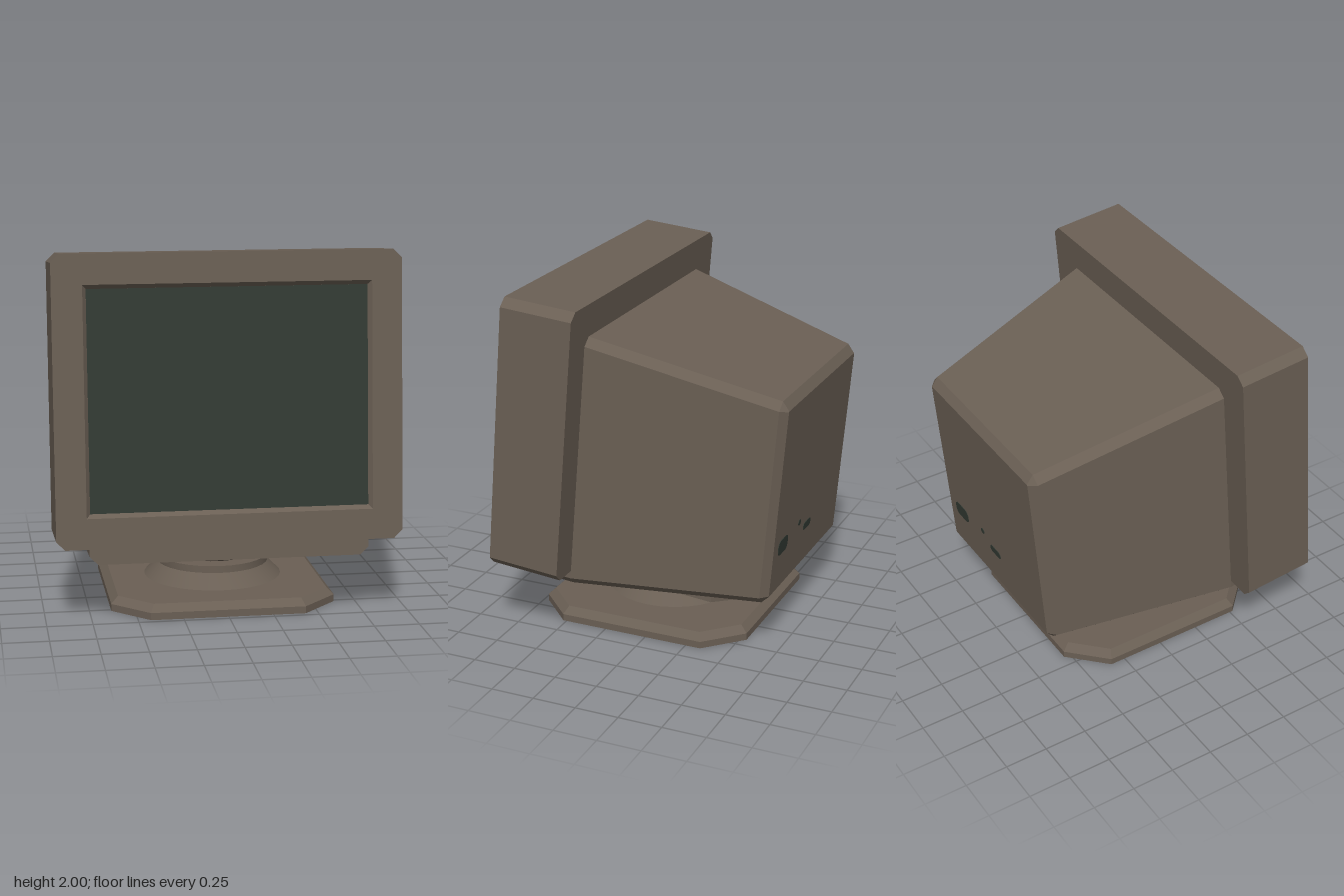
import * as THREE from 'three';
import { toCreasedNormals } from 'three/addons/utils/BufferGeometryUtils.js';

// Rectangle with cut corners, counterclockwise seen from +z
const octagon = (hw, y0, y1, c) => [
  [hw, y0 + c], [hw, y1 - c], [hw - c, y1], [c - hw, y1],
  [-hw, y1 - c], [-hw, y0 + c], [c - hw, y0], [hw - c, y0],
];
const rectangle = (hw, y0, y1) => [[hw, y0], [hw, y1], [-hw, y1], [-hw, y0]];

// Flat-faced loft through [depth, ring] sections; depth runs towards -z
function loft(sections, capped = true) {
  const pos = [];
  const put = (s, i) => {
    const ring = s[1], p = ring[i % ring.length];
    pos.push(p[0], p[1], -s[0]);
  };
  const n = sections[0][1].length;
  for (let k = 0; k < sections.length - 1; k++) {
    const a = sections[k], b = sections[k + 1];
    for (let i = 0; i < n; i++) {
      put(a, i); put(b, i); put(a, i + 1);
      put(b, i); put(b, i + 1); put(a, i + 1);
    }
  }
  if (capped) {
    const first = sections[0], last = sections[sections.length - 1];
    for (let i = 1; i < n - 1; i++) {
      put(first, 0); put(first, i); put(first, i + 1);
      put(last, 0); put(last, i + 1); put(last, i);
    }
  }
  const g = new THREE.BufferGeometry();
  g.setAttribute('position', new THREE.Float32BufferAttribute(pos, 3));
  g.computeVertexNormals();
  return g;
}

const toPoints = (list) => list.map(([x, y]) => new THREE.Vector2(x, y));

function roundedShape(w, h, r) {
  const s = new THREE.Shape(), x = w / 2 - r, y = h / 2 - r;
  s.absarc(x, y, r, 0, Math.PI / 2);
  s.absarc(-x, y, r, Math.PI / 2, Math.PI);
  s.absarc(-x, -y, r, Math.PI, Math.PI * 1.5);
  s.absarc(x, -y, r, Math.PI * 1.5, Math.PI * 2);
  return s;
}

export function createModel() {
  const casing = new THREE.MeshStandardMaterial({ color: 0x6a5f54 });
  casing.name = 'casing brown';
  const glass = new THREE.MeshStandardMaterial({ color: 0x323a33 });
  glass.name = 'dark green glass';

  const model = new THREE.Group();
  model.name = 'monitor';
  const add = (parent, name, geometry, material) => {
    const m = new THREE.Mesh(geometry, material);
    m.name = name;
    parent.add(m);
    return m;
  };

  // Foot: eight-sided plate with a sloped rim
  const foot = add(model, 'footPlate', loft([
    [-0.08, octagon(0.59, -0.59, 0.59, 0.18)],
    [-0.04, octagon(0.63, -0.63, 0.63, 0.2)],
    [0, octagon(0.63, -0.63, 0.63, 0.2)],
  ]), casing);
  foot.rotation.x = -Math.PI / 2;
  foot.position.z = 0.09;

  // Neck: cone with a short collar
  const neck = add(model, 'neck', toCreasedNormals(new THREE.LatheGeometry(toPoints([
    [0.4, 0.075], [0.315, 0.16], [0.32, 0.16], [0.32, 0.2], [0, 0.2],
  ]), 32), 0.6), casing);
  neck.position.z = 0.09;

  // Head: origin at the lower front edge, leaning back
  const head = new THREE.Group();
  head.name = 'tiltingHead';
  head.position.set(0, 0.435, 0.81);
  head.rotation.x = -0.087;
  model.add(head);

  // Swivel bowl under the head
  const bowl = add(head, 'swivelBowl', new THREE.LatheGeometry(toPoints([
    [0, -0.2], [0.2, -0.19], [0.26, -0.167], [0.31, -0.14], [0.35, -0.113], [0.38, -0.08],
  ]), 32), casing);
  bowl.position.z = -0.72;

  // Plate holding the bowl, rear corners cut
  const plateRing = [[0.52, -0.42], [0.52, -1.18], [0.43, -1.27],
    [-0.43, -1.27], [-0.52, -1.18], [-0.52, -0.42]];
  const plateShape = new THREE.Shape(toPoints(plateRing.map(([x, z]) => [x, -z])));
  const plate = add(head, 'swivelPlate',
    new THREE.ExtrudeGeometry(plateShape, { depth: 0.1, bevelEnabled: false }), casing);
  plate.rotation.x = -Math.PI / 2;
  plate.position.y = -0.092;

  // Tapered rear housing, with the chin running under the bezel
  add(head, 'rearHousing', loft([
    [0.042, octagon(0.765, -0.092, 1.388, 0.045)],
    [0.42, octagon(0.765, -0.092, 1.388, 0.045)],
    [1.48, octagon(0.575, 0, 1.2, 0.045)],
    [1.521, octagon(0.533, 0.045, 1.152, 0.004)],
  ]), casing);

  // Bezel: solid block behind a thin frame with a sloped inner rim
  const outer = octagon(0.945, 0, 1.575, 0.047);
  const opening = rectangle(0.78, 0.166, 1.41);
  const inner = rectangle(0.76, 0.188, 1.388);
  add(head, 'bezelBody', loft([[0.026, outer], [0.42, outer]]), casing);
  const frameShape = new THREE.Shape(toPoints(outer));
  frameShape.holes.push(new THREE.Path(toPoints(opening).reverse()));
  add(head, 'bezelFrame',
    new THREE.ExtrudeGeometry(frameShape, { depth: 0.026, bevelEnabled: false }), casing)
    .position.z = -0.026;
  add(head, 'bezelRim', loft([[0.025, inner], [0, opening]], false), casing);

  // Screen glass
  add(head, 'screen', new THREE.PlaneGeometry(1.52, 1.2), glass).position.set(0, 0.788, -0.024);

  // Rear sockets: power inlet, round jack and video port
  const sockets = [
    ['powerInlet', 0.39, 0.305, 0.145, 0.09, 0.035],
    ['roundJack', 0.136, 0.34, 0.036, 0.036, 0.0175],
    ['videoPort', 0.0, 0.276, 0.115, 0.045, 0.02],
  ];
  for (const [name, x, y, w, h, r] of sockets) {
    const s = add(head, name, new THREE.ExtrudeGeometry(roundedShape(w, h, r),
      { depth: 0.005, bevelEnabled: false, curveSegments: 4 }), glass);
    s.position.set(x, y, -1.524);
  }
  return model;
}
